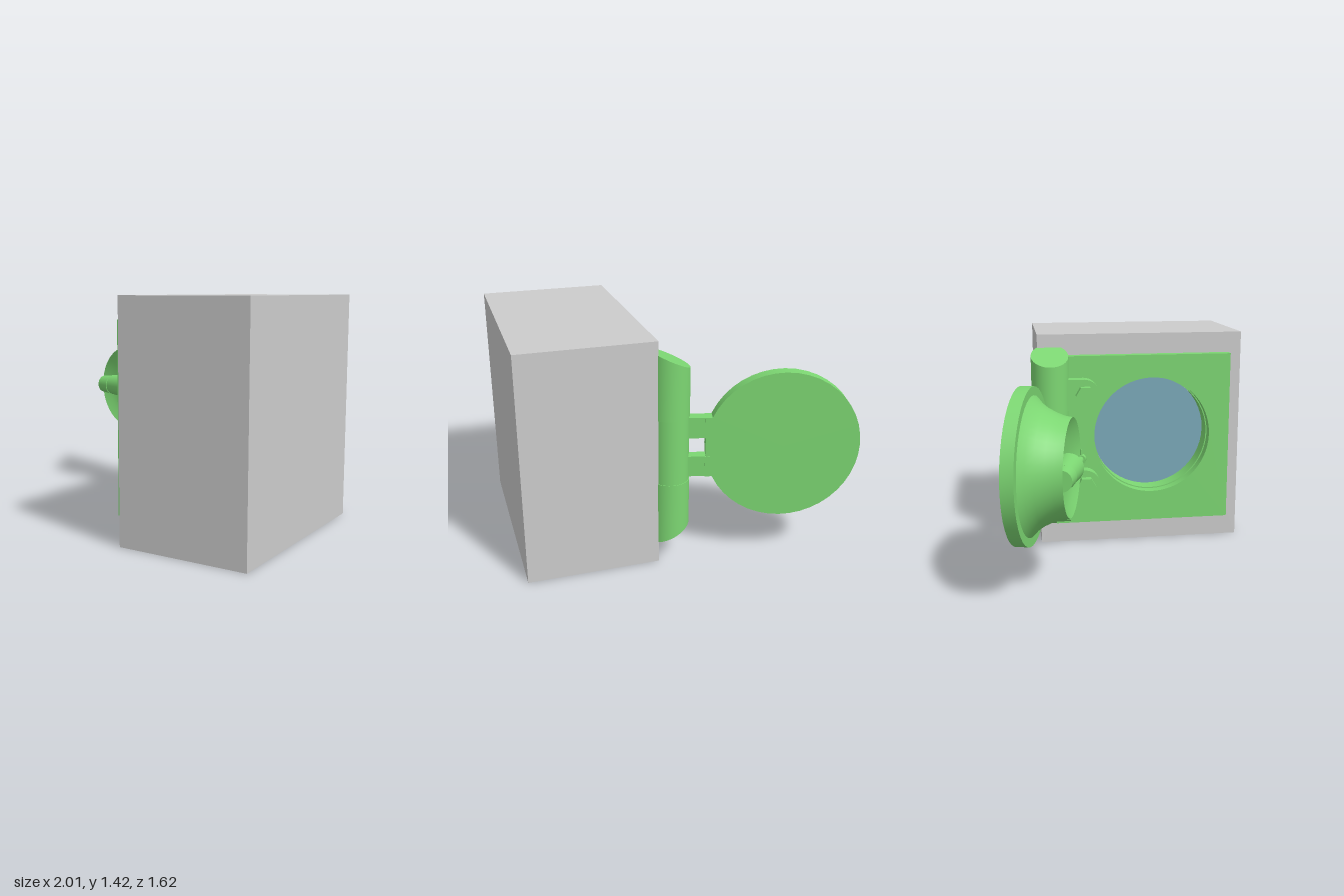
import * as THREE from 'three';
import { toCreasedNormals } from 'three/addons/utils/BufferGeometryUtils.js';

const grey = new THREE.MeshStandardMaterial({ color: 0xcccccc });
const green = new THREE.MeshStandardMaterial({ color: 0x7cd672 });
const blue = new THREE.MeshStandardMaterial({ color: 0x7aa8b8 });
const greenThin = new THREE.MeshStandardMaterial({ color: 0x7cd672, side: THREE.DoubleSide });

const MID = 0.735;                 // height of the hinge centre
const PORT = { y: 0.745, z: 0.2, r: 0.39 };
const HINGE = { x: 0.1, z: -0.475, r: 0.12 };

function add(parent, name, geo, mat, x = 0, y = 0, z = 0) {
  const m = new THREE.Mesh(geo, mat);
  m.name = name;
  m.position.set(x, y, z);
  parent.add(m);
  return m;
}

// Cylinder lying along x
function rodX(rRight, rLeft, length, sides = 32) {
  const g = new THREE.CylinderGeometry(rLeft, rRight, length, sides);
  return g.rotateZ(Math.PI / 2);
}

// Slab in the yz plane with the round port cut through it, growing from x0 to x1
function portedSlab(x0, x1, y0, y1, z0, z1) {
  const s = new THREE.Shape();
  s.moveTo(-z1, y0);
  s.lineTo(-z0, y0);
  s.lineTo(-z0, y1);
  s.lineTo(-z1, y1);
  s.closePath();
  const hole = new THREE.Path();
  hole.absarc(-PORT.z, PORT.y, PORT.r, 0, Math.PI * 2, true);
  s.holes.push(hole);
  const g = new THREE.ExtrudeGeometry(s, { depth: x1 - x0, bevelEnabled: false, curveSegments: 40 });
  g.rotateY(Math.PI / 2).translate(x0, 0, 0);
  return toCreasedNormals(g, 0.5);
}

// Hinge knuckle whose outer end is cut on a slant rising toward the body
function knuckle(s) {
  const g = new THREE.CylinderGeometry(HINGE.r, HINGE.r, 1, 40);
  g.translate(HINGE.x, 0, HINGE.z);
  const p = g.attributes.position;
  for (let i = 0; i < p.count; i++) {
    const outer = p.getY(i) * s > 0;
    const h = outer ? 0.5 + (p.getX(i) + 0.02) * 0.476 : 0.205;
    p.setY(i, MID + s * h);
  }
  return toCreasedNormals(g, 0.5);
}

function buildDoor() {
  const door = new THREE.Group();
  door.name = 'door';
  door.position.set(HINGE.x, 0, HINGE.z);
  door.rotation.y = -Math.PI / 12;
  const cx = -0.673;

  // Flange, flared plug and dished inner face in one turned profile
  const profile = [
    [0, -0.042], [0.462, -0.042], [0.462, 0.034], [0.41, 0.034], [0.372, 0.068],
    [0.34, 0.112], [0.314, 0.165], [0.298, 0.21], [0.29, 0.26],
    [0.24, 0.235], [0.17, 0.217], [0.09, 0.212], [0, 0.212],
  ].map(([r, h]) => new THREE.Vector2(r, h));
  const lid = toCreasedNormals(new THREE.LatheGeometry(profile, 44), 0.5);
  add(door, 'doorPlug', lid.rotateX(Math.PI / 2), green, cx, PORT.y, 0);

  // Two arms to the hinge, with thicker feet on the flange
  for (const s of [-1, 1]) {
    const y = MID + 0.007 + s * 0.125;
    add(door, 'doorArm', new THREE.BoxGeometry(0.3, 0.13, 0.068), green, -0.16, y, -0.004);
    add(door, 'armFoot', new THREE.BoxGeometry(0.06, 0.13, 0.077), green, -0.24, y, -0.004);
  }

  // Latch cylinder, its rod and cross pin
  add(door, 'latchCylinder', rodX(0.086, 0.07, 0.2), green, -0.77, PORT.y, 0.243);
  add(door, 'latchCollar', rodX(0.07, 0.062, 0.1), green, -0.905, PORT.y, 0.25);
  add(door, 'latchNeck', rodX(0.066, 0.084, 0.02), green, -0.66, PORT.y, 0.243);
  add(door, 'latchRod', rodX(0.023, 0.026, 0.2, 20), green, -0.56, PORT.y, 0.275);
  add(door, 'latchRodTip', rodX(0.026, 0.03, 0.05, 20), green, -0.475, PORT.y, 0.28);
  add(door, 'latchPin', new THREE.CylinderGeometry(0.007, 0.007, 0.125, 12), green, -0.478, PORT.y, 0.28);
  return door;
}

export function createModel() {
  const model = new THREE.Group();
  model.name = 'chamberWithDoor';

  // Body block with a round recess in its side
  const body = new THREE.Group();
  body.name = 'body';
  model.add(body);
  add(body, 'bodyPortWall', portedSlab(0.19, 0.32, 0, 1.42, -0.55, 0.81), grey);
  add(body, 'bodyBlock', new THREE.BoxGeometry(0.68, 1.42, 1.36), grey, 0.66, 0.71, 0.13);

  // Port frame, sleeve and window
  add(model, 'portPlate', portedSlab(0.122, 0.19, 0.155, 1.285, -0.45, 0.725), green);
  const sleeve = new THREE.CylinderGeometry(0.385, 0.385, 0.125, 48, 1, true).rotateZ(Math.PI / 2);
  add(model, 'portSleeve', sleeve, greenThin, 0.2525, PORT.y, PORT.z);
  const rim = new THREE.RingGeometry(0.383, 0.392, 48).rotateY(-Math.PI / 2);
  add(model, 'sleeveRim', rim, greenThin, 0.19, PORT.y, PORT.z);
  add(model, 'window', rodX(0.384, 0.384, 0.01, 48), blue, 0.312, PORT.y, PORT.z);

  // Hinge barrel with fixed knuckles, lugs and bolts mirrored above and below
  const hinge = new THREE.Group();
  hinge.name = 'hinge';
  model.add(hinge);
  add(hinge, 'hingeCentre', new THREE.CylinderGeometry(0.116, 0.116, 0.42, 40), green, HINGE.x, MID, HINGE.z);
  for (const s of [-1, 1]) {
    const y = MID + 0.007 + s * 0.302;
    add(hinge, 'hingeKnuckle', knuckle(s), green);
    add(hinge, 'hingeLug', new THREE.BoxGeometry(0.085, 0.2, 0.19), green, 0.0825, y, -0.355);
    add(hinge, 'boltBoss', rodX(0.1, 0.1, 0.085), green, 0.0825, y, -0.26);
    const head = toCreasedNormals(rodX(0.063, 0.063, 0.055, 6), 0.3);
    add(hinge, 'boltHead', head, green, 0.0165, y, -0.255);
  }

  model.add(buildDoor());
  return model;
}
